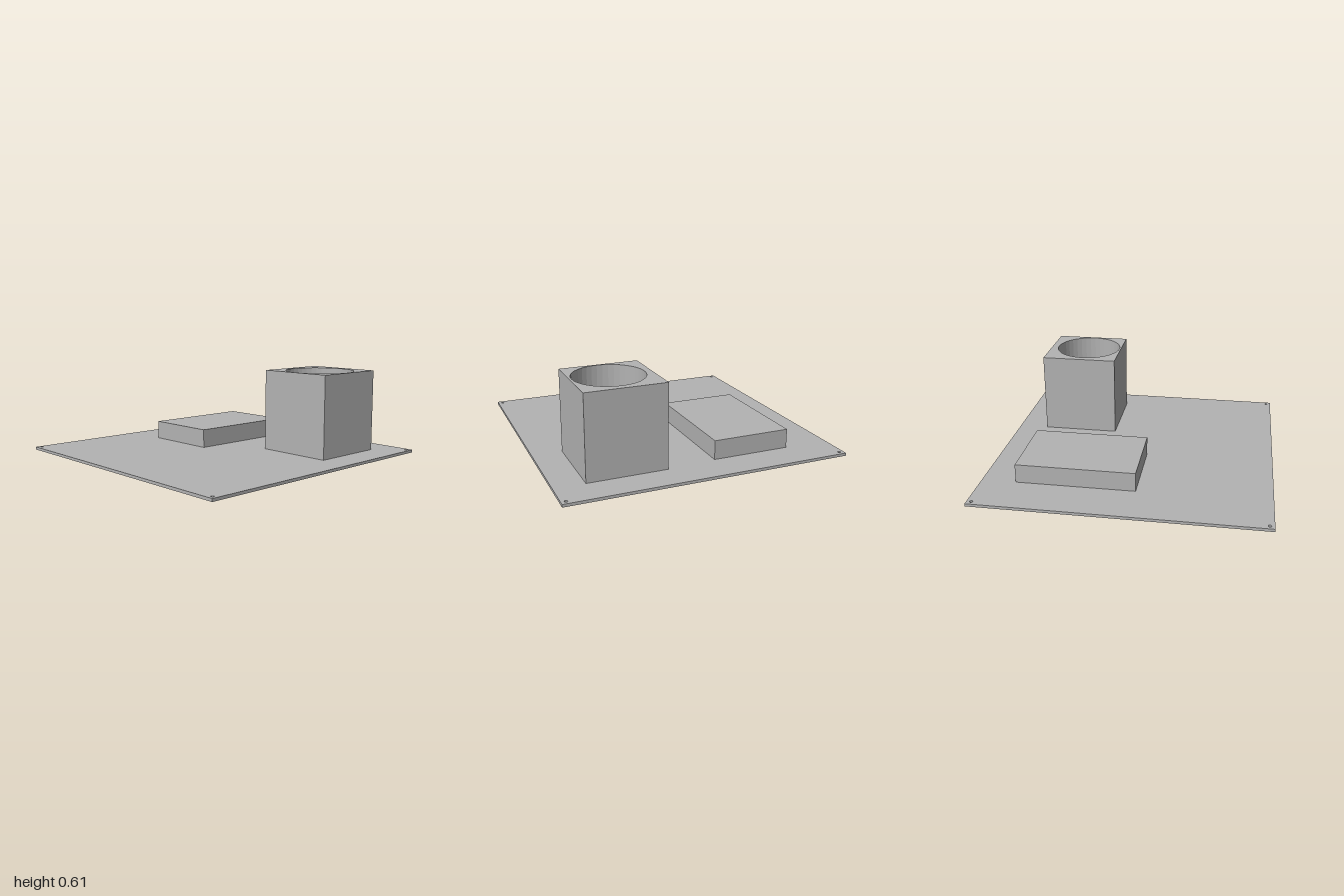
import * as THREE from 'three';

// Rectangular block standing on y0, spanning x0..x1 and z0..z1, with vertical round holes [x, z, r]
function block(name, material, [x0, x1], [z0, z1], y0, height, holes = [], curveSegments = 20) {
  const shape = new THREE.Shape([
    new THREE.Vector2(x0, -z1),
    new THREE.Vector2(x1, -z1),
    new THREE.Vector2(x1, -z0),
    new THREE.Vector2(x0, -z0),
  ]);
  for (const [x, z, r] of holes) {
    shape.holes.push(new THREE.Path().absarc(x, -z, r, 0, Math.PI * 2, true));
  }
  const geometry = new THREE.ExtrudeGeometry(shape, { depth: height, bevelEnabled: false, curveSegments });
  geometry.rotateX(-Math.PI / 2).translate(0, y0, 0);
  const mesh = new THREE.Mesh(geometry, material);
  mesh.name = name;
  return mesh;
}

export function createModel() {
  const model = new THREE.Group();
  model.name = 'mountingPlate';
  const grey = new THREE.MeshStandardMaterial({ color: 0xb3b3b3 });
  grey.name = 'plain grey';

  const plateTop = 0.02;

  // Thin square plate with a small screw hole in each corner
  const screwHoles = [];
  for (const x of [-0.967, 0.967]) {
    for (const z of [-0.967, 0.967]) screwHoles.push([x, z, 0.011]);
  }
  model.add(block('basePlate', grey, [-1, 1], [-1, 1], 0, plateTop, screwHoles, 8));

  // Tall square holder with an off-centre round well down to the plate
  model.add(block('cupHolder', grey, [0.226, 0.782], [0.231, 0.788], plateTop, 0.59, [[0.485, 0.526, 0.247]]));

  // Low solid block at the back
  model.add(block('lowBlock', grey, [-0.08, 0.756], [-0.675, -0.117], plateTop, 0.135));

  return model;
}
